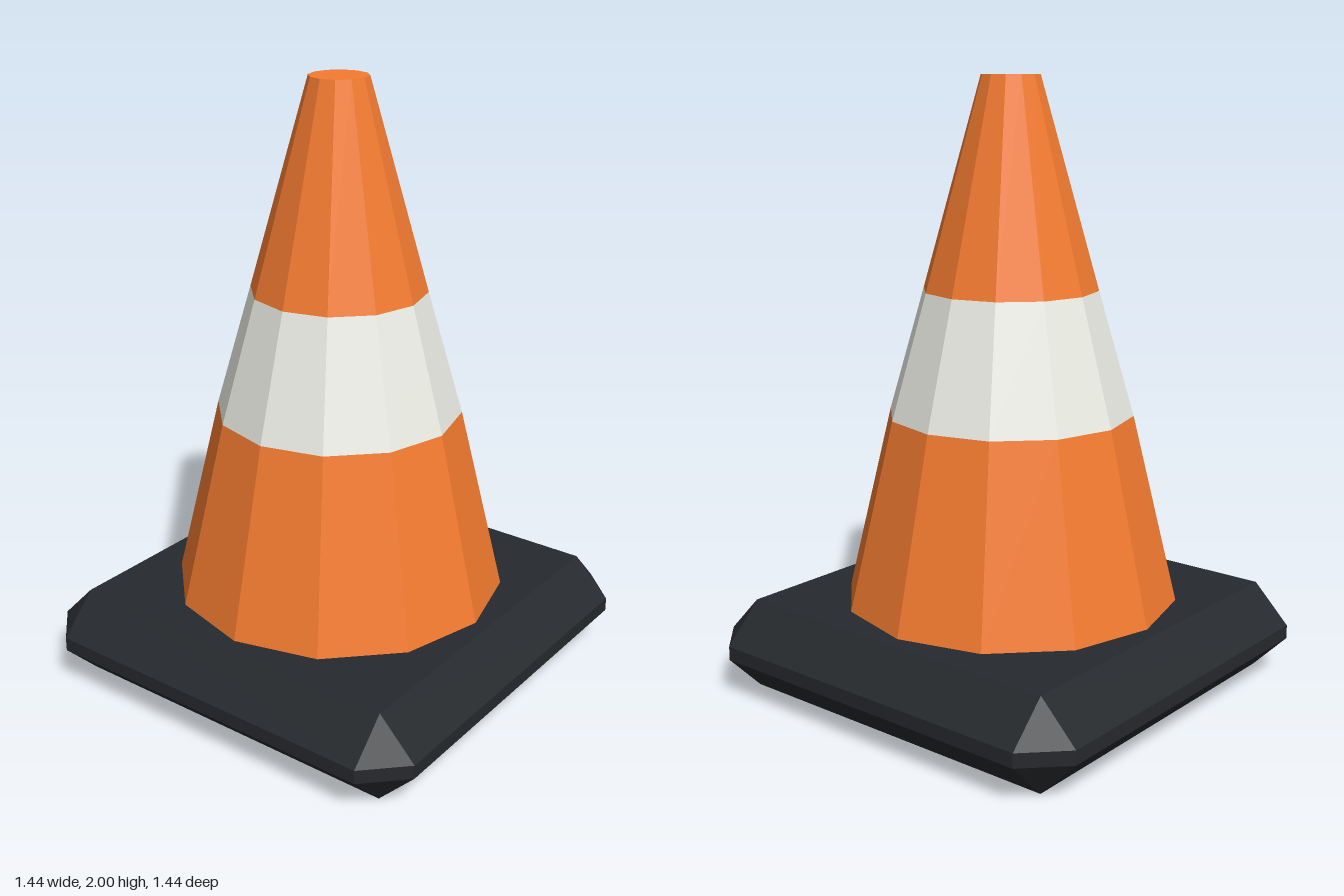
import * as THREE from 'three';

const material = (color) => new THREE.MeshStandardMaterial({ color, flatShading: true });

// Octagonal ring: half width w, corner points at c
const ring = (y, w, c) => [
  [w, c], [c, w], [-c, w], [-w, c], [-w, -c], [-c, -w], [c, -w], [w, -c],
].map(([x, z]) => [x, y, z]);

// Slab lofted through the rings and closed at both ends
function loft(rings) {
  const pos = [];
  const tri = (a, b, c) => {
    const [A, B, C] = [a, b, c].map((p) => new THREE.Vector3(...p));
    const area = B.clone().sub(A).cross(C.clone().sub(A)).length();
    if (area > 1e-8) pos.push(...a, ...b, ...c);
  };
  for (let r = 0; r < rings.length - 1; r++) {
    for (let i = 0; i < 8; i++) {
      const j = (i + 1) % 8;
      const lo = rings[r], hi = rings[r + 1];
      tri(lo[i], hi[i], hi[j]);
      tri(lo[i], hi[j], lo[j]);
    }
  }
  const bottom = rings[0], top = rings[rings.length - 1];
  for (let i = 1; i < 7; i++) {
    tri(bottom[0], bottom[i], bottom[i + 1]);
    tri(top[0], top[i + 1], top[i]);
  }
  const geo = new THREE.BufferGeometry();
  geo.setAttribute('position', new THREE.Float32BufferAttribute(pos, 3));
  geo.computeVertexNormals();
  return geo;
}

export function createModel() {
  const group = new THREE.Group();
  const orange = material(0xf47b30);
  const white = material(0xecede5);
  const rubber = material(0x26292d);

  const add = (name, geometry, mat) => {
    const mesh = new THREE.Mesh(geometry, mat);
    mesh.name = name;
    group.add(mesh);
    return mesh;
  };

  // Bevelled square base
  const inner = 0.597, outer = 0.722;
  add('base', loft([
    ring(0, inner, inner),
    ring(0.127, outer, inner),
    ring(0.173, outer, inner),
    ring(0.3, inner, inner),
  ]), rubber);

  // Twelve-sided cone in three stacked sections
  const section = (name, y0, r0, y1, r1, mat, open) => {
    const geo = new THREE.CylinderGeometry(r1, r0, y1 - y0, 12, 1, open);
    add(name, geo, mat).position.y = (y0 + y1) / 2;
  };
  section('lowerCone', 0.3, 0.552, 0.92, 0.403, orange, true);
  section('reflectiveBand', 0.92, 0.403, 1.325, 0.286, white, true);
  section('upperCone', 1.325, 0.286, 2, 0.095, orange, false);

  return group;
}
